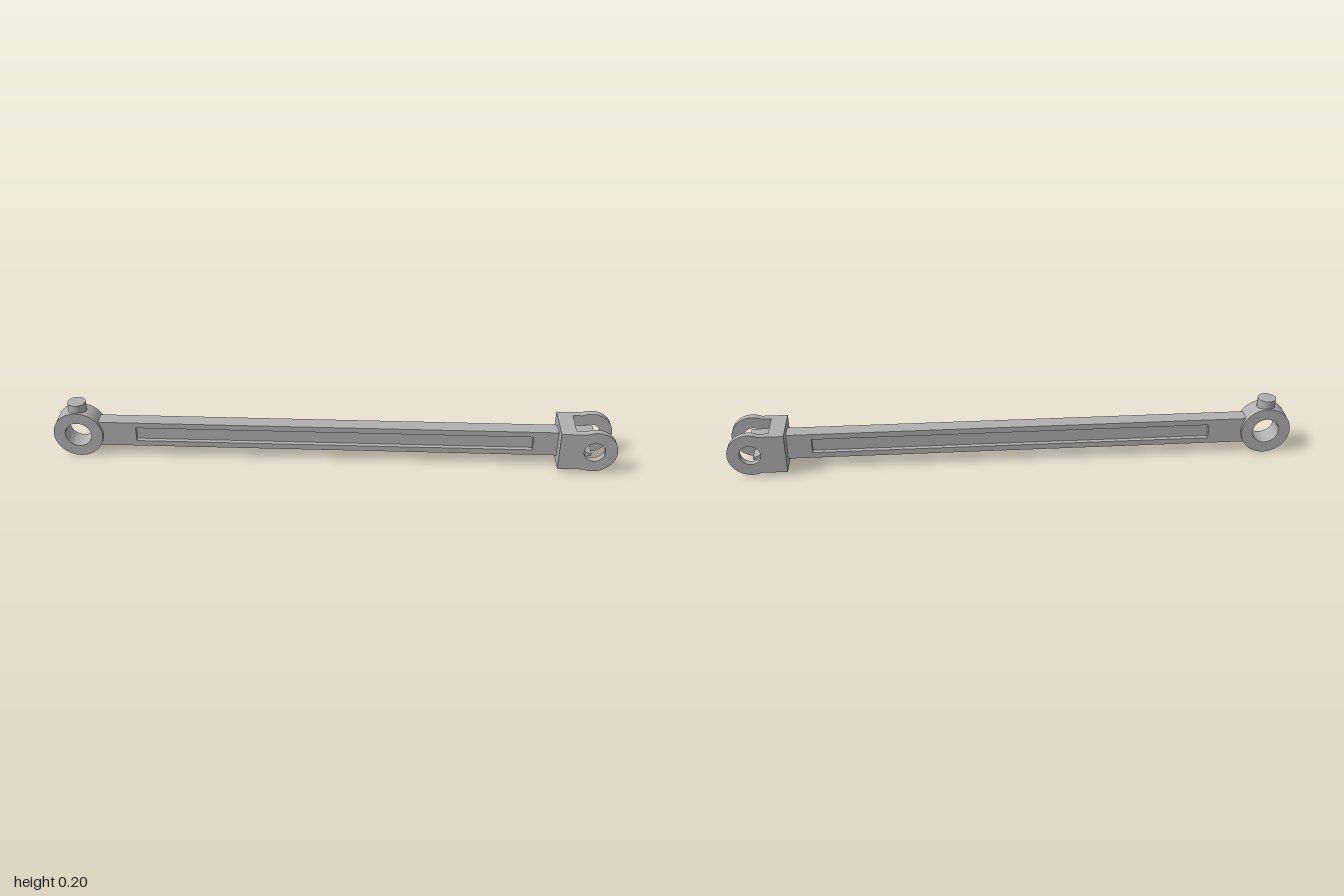
import * as THREE from 'three';
import { toCreasedNormals } from 'three/addons/utils/BufferGeometryUtils.js';

const AXIS_Y = 0.088; // height of the rod's centre line
const EYE_X = -0.912; // centre of the ring end
const PIN_X = 0.92; // centre of the fork's pin hole
const PIN_R = 0.037;

export function createModel() {
  const group = new THREE.Group();
  group.name = 'connectingRod';
  const steel = new THREE.MeshStandardMaterial({ color: 0xb0b0b0 });
  steel.name = 'greySteel';

  const add = (name, geometry, x = 0, y = 0, z = 0) => {
    const mesh = new THREE.Mesh(geometry, steel);
    mesh.name = name;
    mesh.position.set(x, y, z);
    group.add(mesh);
    return mesh;
  };

  // Extrude a shape between two z values, smoothing only the round walls
  const plate = (name, shape, z0, z1) => add(name, toCreasedNormals(
    new THREE.ExtrudeGeometry(shape, { depth: z1 - z0, bevelEnabled: false, curveSegments: 48 }), 0.5),
  0, AXIS_Y, z0);

  const circleHole = (x, r) => new THREE.Path().absarc(x, 0, r, 0, Math.PI * 2, true);

  // Rod outline, ending in a half-round seat around the pin hole
  const rodShape = () => {
    const h = 0.048;
    const s = new THREE.Shape();
    s.moveTo(-0.85, -h);
    s.lineTo(PIN_X, -h);
    s.lineTo(PIN_X, -PIN_R);
    s.absarc(PIN_X, 0, PIN_R, -Math.PI / 2, -Math.PI * 1.5, true);
    s.lineTo(PIN_X, h);
    s.lineTo(-0.85, h);
    s.closePath();
    return s;
  };

  // Thin web in the middle, with a slotted layer on each side forming the grooves
  const WEB = 0.01, ROD = 0.026;
  plate('rodWeb', rodShape(), -WEB, WEB);
  const slotted = rodShape();
  slotted.holes.push(new THREE.Path([
    [-0.705, -0.027], [-0.705, 0.027], [0.71, 0.027], [0.71, -0.027],
  ].map(([x, y]) => new THREE.Vector2(x, y))));
  plate('rodFrontFlange', slotted, WEB, ROD);
  plate('rodBackFlange', slotted, -ROD, -WEB);

  // Ring end
  const ring = new THREE.Shape().absarc(EYE_X, 0, 0.088, 0, Math.PI * 2, false);
  ring.holes.push(circleHole(EYE_X, 0.047));
  plate('ringEnd', ring, -0.037, 0.037);

  // Oil cup on top of the ring
  add('oilCup', new THREE.CylinderGeometry(0.032, 0.032, 0.055, 48), EYE_X, 0.1775, 0);

  // Fork: solid base and two rounded arms
  const FORK_X = 0.797, BASE_X = 0.852, h = 0.073, R = 0.08;
  add('forkBase', new THREE.BoxGeometry(BASE_X - FORK_X, h * 2, 0.1), (FORK_X + BASE_X) / 2, AXIS_Y, 0);

  const a = Math.PI - Math.asin(h / R); // where the flat edge meets the round end
  const arm = new THREE.Shape();
  arm.moveTo(FORK_X, -h);
  arm.lineTo(PIN_X + R * Math.cos(a), -h);
  arm.absarc(PIN_X, 0, R, -a, a, false);
  arm.lineTo(FORK_X, h);
  arm.closePath();
  arm.holes.push(circleHole(PIN_X, PIN_R));
  plate('forkArmFront', arm, 0.05, 0.073);
  plate('forkArmBack', arm, -0.073, -0.05);

  return group;
}
